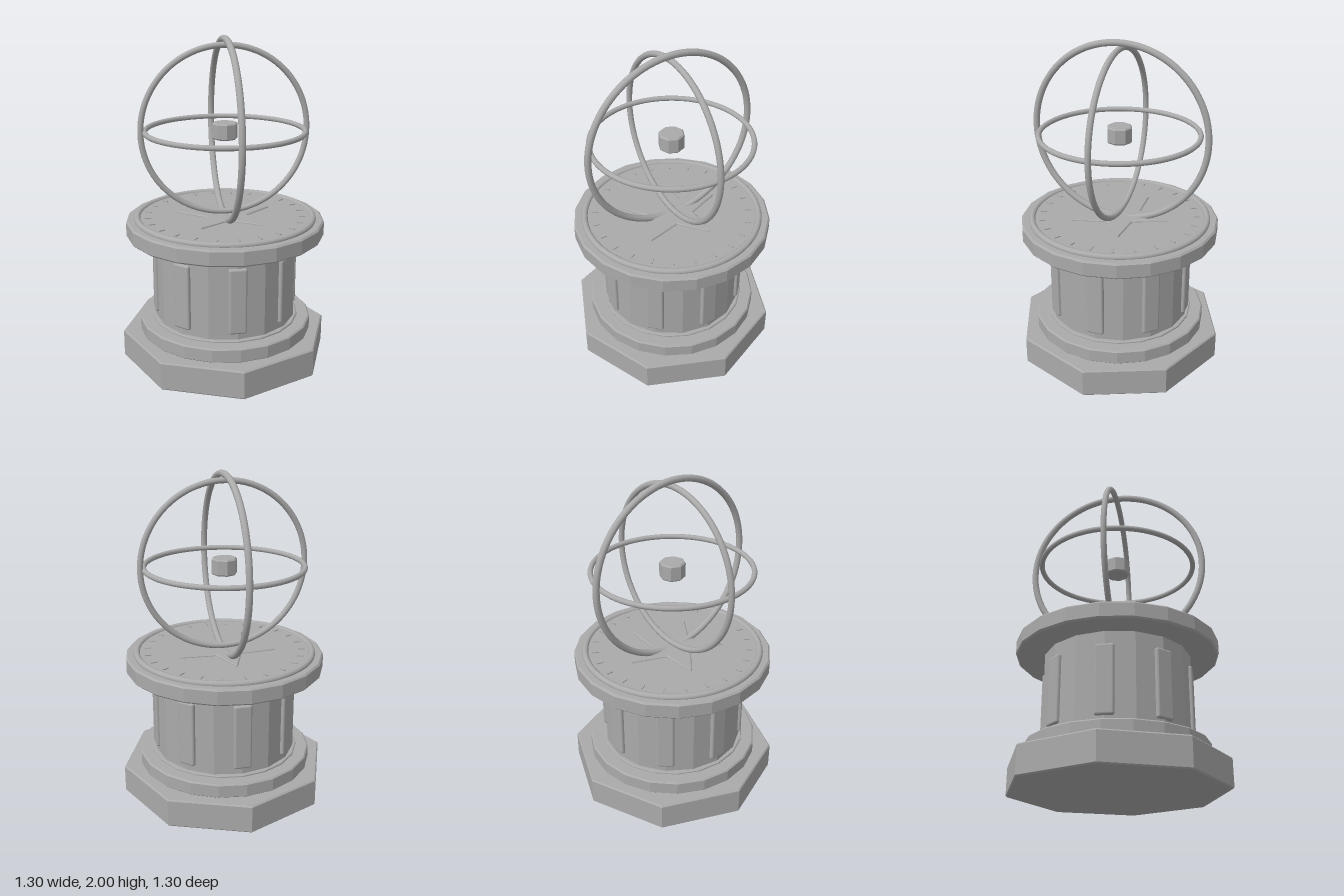
import * as THREE from 'three';
import { RoundedBoxGeometry } from 'three/addons/geometries/RoundedBoxGeometry.js';

export function createModel() {
  const model = new THREE.Group();
  model.name = 'armillarySundial';
  const stone = new THREE.MeshStandardMaterial({ color: 0xaaaaaa });
  stone.name = 'grey stone';

  const add = (name, geometry, parent = model) => {
    const mesh = new THREE.Mesh(geometry, stone);
    mesh.name = name;
    parent.add(mesh);
    return mesh;
  };

  // Faceted drum with bevelled rims, a corner facing +z
  const drum = (name, radius, y0, y1, sides, bevel) => {
    const profile = [
      [0, y0], [radius - bevel, y0], [radius, y0 + bevel],
      [radius, y1 - bevel], [radius - bevel, y1], [0, y1],
    ].map(([x, y]) => new THREE.Vector2(x, y));
    const geometry = new THREE.LatheGeometry(profile, sides).toNonIndexed();
    geometry.computeVertexNormals();
    return add(name, geometry);
  };

  // Pedestal
  drum('octagonalBase', 0.65, 0, 0.178, 8, 0.008);
  drum('baseStep', 0.54, 0.175, 0.265, 20, 0.008);
  drum('columnFoot', 0.46, 0.26, 0.277, 20, 0.005);
  drum('column', 0.44, 0.27, 0.81, 16, 0.004);
  drum('tableTop', 0.61, 0.8, 0.9, 20, 0.01);

  // Raised panels around the column
  for (let i = 0; i < 8; i++) {
    const pivot = new THREE.Group();
    pivot.name = 'panelPivot';
    pivot.rotation.y = (i * Math.PI) / 4;
    model.add(pivot);
    const panel = add('columnPanel', new RoundedBoxGeometry(0.11, 0.41, 0.04, 2, 0.014), pivot);
    panel.position.set(0, 0.518, 0.431);
  }

  // Dial plate with its raised lip
  const dial = add('dialPlate', new THREE.CylinderGeometry(0.54, 0.54, 0.02, 64));
  dial.position.y = 0.9;
  const lip = add('dialLip', new THREE.TorusGeometry(0.54, 0.02, 12, 80));
  lip.rotation.x = Math.PI / 2;
  lip.position.y = 0.905;

  // Hour marks
  for (let i = 0; i < 24; i++) {
    const pivot = new THREE.Group();
    pivot.name = 'hourMarkPivot';
    pivot.rotation.y = (i * Math.PI) / 12;
    model.add(pivot);
    const mark = add('hourMark', new THREE.BoxGeometry(0.01, 0.012, 0.04), pivot);
    mark.position.set(0, 0.91, 0.477);
  }

  // Bevelled star pointing to the back
  const starPoints = [];
  for (let i = 0; i < 10; i++) {
    const r = i % 2 ? 0.135 : 0.313;
    const a = Math.PI / 2 + (i * Math.PI) / 5;
    starPoints.push(new THREE.Vector2(r * Math.cos(a), r * Math.sin(a)));
  }
  const starGeometry = new THREE.ExtrudeGeometry(new THREE.Shape(starPoints), {
    depth: 0.008, bevelThickness: 0.006, bevelSize: 0.008, bevelOffset: -0.008, bevelSegments: 1,
  });
  starGeometry.rotateX(-Math.PI / 2);
  add('dialStar', starGeometry).position.y = 0.906;

  // Three crossed rings
  const ring = (name, radius, tube, rx, ry) => {
    const mesh = add(name, new THREE.TorusGeometry(radius, tube, 12, 96));
    mesh.rotation.set(rx, ry, 0);
    mesh.position.y = 1.44;
  };
  ring('meridianRing', 0.54, 0.02, 0, Math.PI / 2);
  ring('crossRing', 0.505, 0.018, 0, 0);
  ring('horizonRing', 0.48, 0.016, Math.PI / 2, 0);

  // Floating core
  drum('core', 0.078, 1.39, 1.49, 8, 0.008);

  return model;
}
